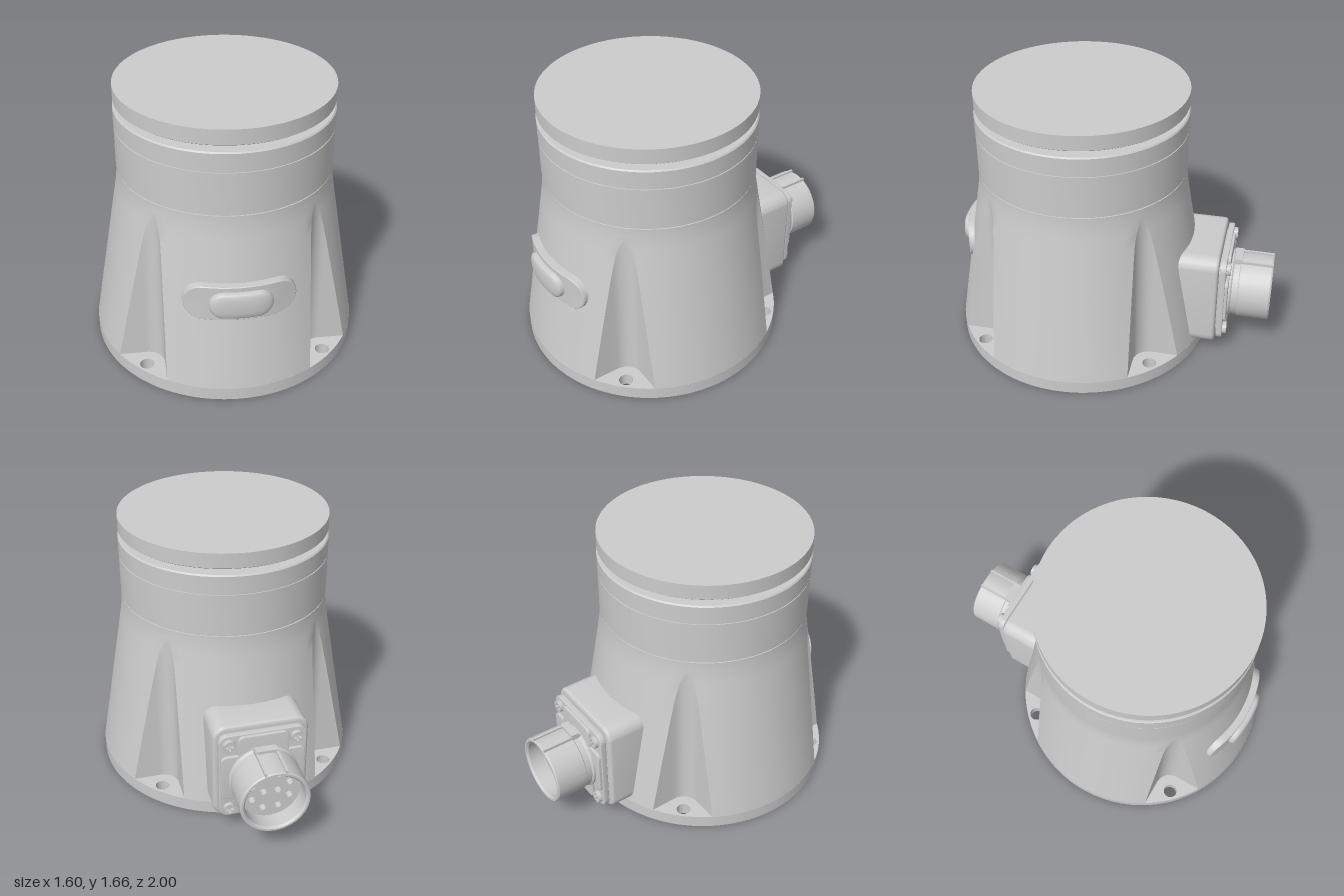
import * as THREE from 'three';
import { toCreasedNormals } from 'three/addons/utils/BufferGeometryUtils.js';

const AXIS_Z = 0.2; // the round body stands forward of the centre
const gray = new THREE.MeshStandardMaterial({ color: 0xcccccc });

function add(parent, name, geometry, crease = 0.5) {
  const mesh = new THREE.Mesh(toCreasedNormals(geometry, crease), gray);
  mesh.name = name;
  parent.add(mesh);
  return mesh;
}

// Skin over a stack of closed rings with equal point counts
function loft(rings) {
  const n = rings[0].length, index = [];
  for (let i = 0; i < rings.length - 1; i++) {
    for (let j = 0; j < n; j++) {
      const a = i * n + j, b = i * n + (j + 1) % n;
      index.push(a, a + n, b, b, a + n, b + n);
    }
  }
  const g = new THREE.BufferGeometry();
  g.setAttribute('position', new THREE.Float32BufferAttribute(rings.flat(2), 3));
  g.setIndex(index);
  return g;
}

const lathe = (points, segments = 72) =>
  new THREE.LatheGeometry(points.map(p => new THREE.Vector2(...p)), segments);

const circle = (x, y, r, Type = THREE.Path) => new Type().absarc(x, y, r, 0, Math.PI * 2);

function roundedRect(w, h, r) {
  const s = new THREE.Shape(), x = w / 2 - r, y = h / 2 - r;
  s.absarc(x, y, r, 0, Math.PI / 2);
  s.absarc(-x, y, r, Math.PI / 2, Math.PI);
  s.absarc(-x, -y, r, Math.PI, Math.PI * 1.5);
  s.absarc(x, -y, r, Math.PI * 1.5, Math.PI * 2);
  s.closePath();
  return s;
}

// Body cross-section: a circle with four corner pockets with rounded inner corners
function bodyRing(R, y) {
  const wall = 0.42, fillet = 0.1, c = wall + fillet, d = c * Math.SQRT2;
  const cosA = (d * d + fillet * fillet - R * R) / (2 * d * fillet);
  const a = Math.min(Math.PI / 4, Math.acos(Math.min(1, cosA)));
  const pocket = [];
  for (let i = 0; i <= 10; i++) {
    const t = Math.PI * 1.25 + a - 2 * a * i / 10;
    pocket.push(cosA >= 1 ? [R * Math.SQRT1_2, R * Math.SQRT1_2]
      : [c + fillet * Math.cos(t), c + fillet * Math.sin(t)]);
  }
  const far = Math.sqrt(R * R - wall * wall), open = a >= Math.PI / 4;
  const first = open ? [far, wall] : pocket[0];
  const last = open ? [wall, far] : pocket[10];
  const t0 = Math.atan2(first[1], first[0]), quarter = [];
  for (let i = 0; i < 8; i++) quarter.push([R * Math.cos(t0 * i / 8), R * Math.sin(t0 * i / 8)]);
  quarter.push(first, ...pocket, last);
  for (let i = 1; i < 8; i++) {
    const t = Math.PI / 2 - t0 * (1 - i / 8);
    quarter.push([R * Math.cos(t), R * Math.sin(t)]);
  }
  const ring = [];
  for (let q = 0; q < 4; q++) {
    const cs = [1, 0, -1, 0][q], sn = [0, 1, 0, -1][q];
    for (const [x, z] of quarter) ring.push([x * cs - z * sn, y, x * sn + z * cs]);
  }
  return ring;
}

// Slot-shaped ring laid on a vertical cylinder of the given radius
function slotRing(half, r, cy, radius) {
  const ring = [];
  const put = (x, y) => ring.push([x, cy + y, Math.sqrt(radius * radius - x * x)]);
  for (const s of [1, -1]) {
    for (let i = 0; i <= 12; i++) {
      const t = Math.PI / 2 - Math.PI * i / 12;
      put(s * (half + r * Math.cos(t)), s * r * Math.sin(t));
    }
    for (let i = 1; i < 14; i++) put(s * half * (1 - 2 * i / 14), -s * r);
  }
  return ring;
}

function makeBody() {
  const g = new THREE.Group();
  g.name = 'body';
  g.position.z = AXIS_Z;

  // Base plate with mounting holes
  const base = circle(0, 0, 0.8, THREE.Shape);
  for (const x of [-0.525, 0.525]) for (const y of [-0.525, 0.525]) base.holes.push(circle(x, y, 0.042));
  for (const y of [-0.735, 0.735]) base.holes.push(circle(-0.08, y, 0.035));
  const plate = new THREE.ExtrudeGeometry(base, { depth: 0.08, bevelEnabled: false, curveSegments: 72 });
  add(g, 'basePlate', plate.rotateX(-Math.PI / 2));

  // Tapered housing with corner pockets
  const rows = [];
  for (let i = 0; i <= 14; i++) rows.push([0.8 - 0.152 * i / 14, 0.08 + 0.9 * i / 14]);
  rows.push([0.6412, 1.02], [0.637, 1.05], [0.6357, 1.062], [0.633, 1.09], [0.63, 1.125], [0.63, 1.14], [0.6, 1.14]);
  const rings = rows.map(r => bodyRing(...r));
  rings.unshift(rings[0].map(() => [0, 0.08, 0]));
  add(g, 'taperedHousing', loft(rings));

  // Upper collar with shallow grooves
  add(g, 'collar', lathe([[0.622, 1.13], [0.622, 1.148], [0.632, 1.148], [0.632, 1.404], [0.626, 1.404],
    [0.626, 1.412], [0.633, 1.412], [0.633, 1.518], [0.626, 1.526], [0, 1.526]]));
  add(g, 'neck', lathe([[0.475, 1.52], [0.475, 1.57]]));

  // Split ring under the top disc
  const gap = 0.08;
  for (const s of [0, Math.PI]) {
    const half = new THREE.Shape();
    half.absarc(0, 0, 0.5, gap, Math.PI - gap);
    half.absarc(0, 0, 0.46, Math.PI - gap, gap, true);
    const geo = new THREE.ExtrudeGeometry(half, { depth: 0.027, bevelEnabled: false, curveSegments: 36 });
    add(g, 'splitRing', geo.rotateX(-Math.PI / 2).rotateY(s).translate(0, 1.537, 0));
  }
  add(g, 'topDisc', lathe([[0, 1.562], [0.622, 1.562], [0.63, 1.568], [0.63, 1.656], [0, 1.656]]));

  // Front pad and button wrapped around the housing
  add(g, 'frontPad', loft([[0.112, 0.66], [0.112, 0.727], [0.108, 0.731], [0, 0.731]]
    .map(([r, R]) => slotRing(0.208, r, 0.633, R))));
  add(g, 'frontButton', loft([[0.082, 0.72], [0.082, 0.748], [0.077, 0.757], [0.066, 0.763], [0.04, 0.767], [0, 0.769]]
    .map(([r, R]) => slotRing(0.098, r, 0.633, R))), 0.7);
  return g;
}

function makeConnector() {
  const g = new THREE.Group();
  g.name = 'connector';
  const slab = (name, w, h, r, zBack, depth, bevel, cy = 0.395) => {
    const geo = new THREE.ExtrudeGeometry(roundedRect(w - 2 * bevel, h - 2 * bevel, r), {
      depth: depth - 2 * bevel, bevelSize: bevel, bevelThickness: bevel, bevelSegments: 4,
      bevelEnabled: bevel > 0, curveSegments: 8 });
    return add(g, name, geo.translate(0, cy, zBack + bevel));
  };
  slab('connectorBox', 0.57, 0.63, 0.06, -0.685, 0.34, 0.02, 0.397);
  slab('flangeGasket', 0.46, 0.5, 0.05, -0.7, 0.03, 0);
  slab('flange', 0.52, 0.57, 0.05, -0.728, 0.036, 0.004);
  slab('flangeStep', 0.3, 0.55, 0.03, -0.745, 0.03, 0.004);
  slab('flangeStep', 0.5, 0.3, 0.03, -0.745, 0.03, 0.004);

  // Corner screws with cross recesses
  const head = circle(0, 0, 0.037, THREE.Shape);
  const a = 0.007, b = 0.024;
  head.holes.push(new THREE.Path([[a, a], [b, a], [b, -a], [a, -a], [a, -b], [-a, -b],
    [-a, -a], [-b, -a], [-b, a], [-a, a], [-a, b], [a, b]].map(p => new THREE.Vector2(...p))));
  for (const x of [-0.2, 0.2]) for (const y of [0.17, 0.62]) {
    const geo = new THREE.ExtrudeGeometry(head, { depth: 0.025, bevelEnabled: false });
    add(g, 'screw', geo.translate(x, y, -0.752));
  }

  // Hollow barrel
  const cy = 0.382;
  const barrel = lathe([[0.21, 0.72], [0.21, 0.755], [0.2, 0.765], [0.2, 0.8], [0.206, 0.805], [0.206, 0.992],
    [0.2, 1], [0.188, 1], [0.178, 0.988], [0.178, 0.84], [0, 0.84]], 48);
  add(g, 'barrel', barrel.rotateX(-Math.PI / 2).translate(0, cy, 0));

  // Socket insert
  const face = circle(0, 0, 0.179, THREE.Shape);
  for (let i = 0; i < 8; i++) {
    const t = (i + 0.5) * Math.PI / 4;
    face.holes.push(circle(0.12 * Math.cos(t), 0.12 * Math.sin(t), 0.022));
  }
  for (const x of [-0.042, 0.042]) face.holes.push(circle(x, 0, 0.022));
  const insert = new THREE.ExtrudeGeometry(face, { depth: 0.05, bevelEnabled: false, curveSegments: 20 });
  add(g, 'socketInsert', insert.translate(0, cy, -0.89));

  // Key on top of the barrel: two rails and a lug
  const box = (name, w, h, d, x, y, z) => add(g, name, new THREE.BoxGeometry(w, h, d).translate(x, y, z));
  for (const x of [-0.06, 0.06]) box('keyRail', 0.014, 0.03, 0.25, x, 0.578, -0.873);
  box('keyLug', 0.13, 0.05, 0.05, 0, 0.578, -0.785);
  return g;
}

export function createModel() {
  const model = new THREE.Group();
  model.name = 'flangedSensorHousing';
  model.add(makeBody(), makeConnector());
  return model;
}
